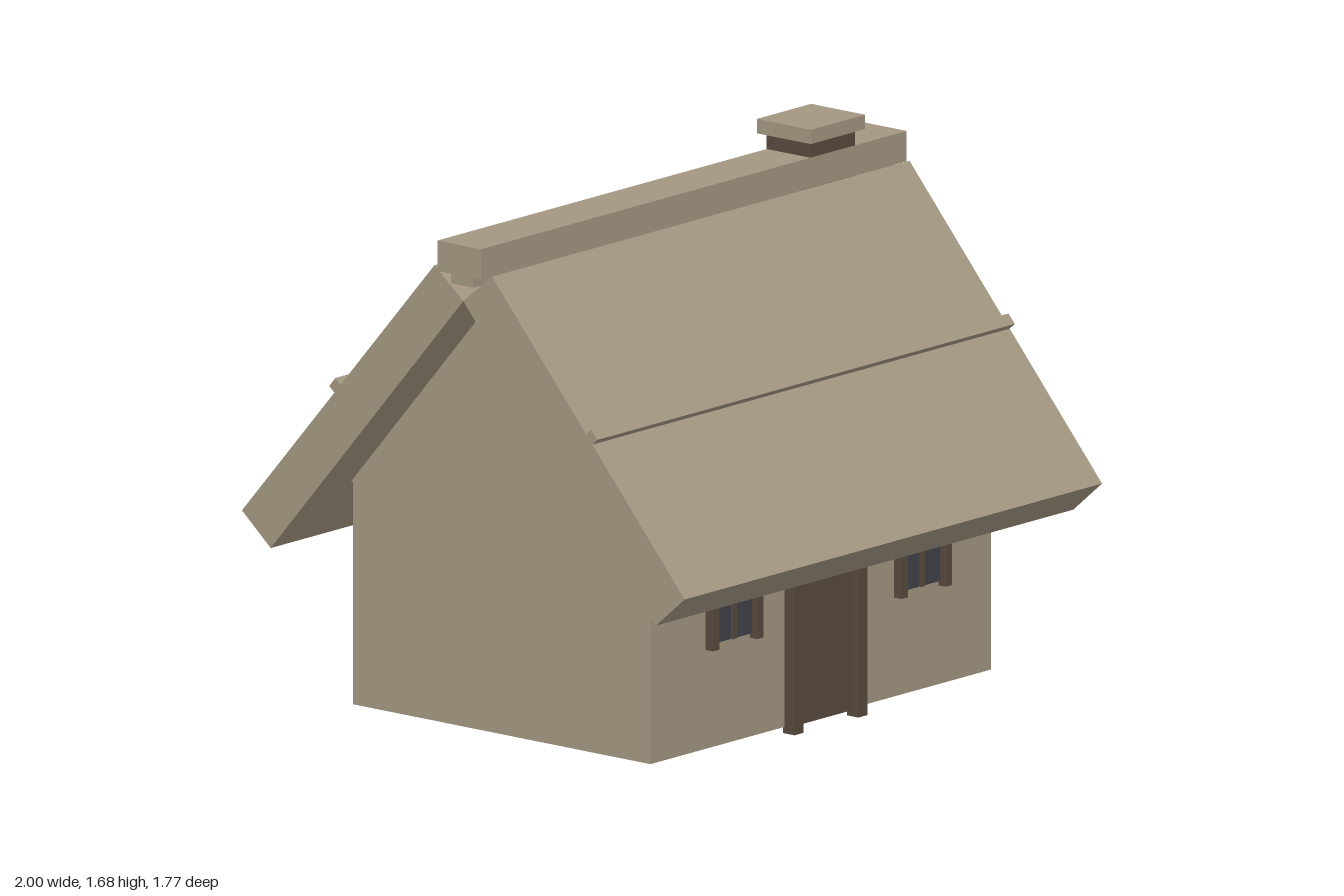
import * as THREE from 'three';

export function createModel() {
  const model = new THREE.Group();
  model.name = 'cottage';
  const paint = (name, color) => {
    const m = new THREE.MeshStandardMaterial({ color });
    m.name = name;
    return m;
  };
  const plaster = paint('plaster and thatch', 0xa39781);
  const timber = paint('dark timber', 0x594a3e);
  const glass = paint('window glass', 0x42424a);

  // box given by its min and max on each axis
  function box(parent, name, mat, [x0, x1], [y0, y1], [z0, z1]) {
    const mesh = new THREE.Mesh(new THREE.BoxGeometry(x1 - x0, y1 - y0, z1 - z0), mat);
    mesh.position.set((x0 + x1) / 2, (y0 + y1) / 2, (z0 + z1) / 2);
    mesh.name = name;
    parent.add(mesh);
    return mesh;
  }

  // prism along x from a [z, y] outline
  function prism(name, mat, outline, halfLength) {
    const shape = new THREE.Shape(outline.map(([z, y]) => new THREE.Vector2(-z, y)));
    const geo = new THREE.ExtrudeGeometry(shape, { depth: halfLength * 2, bevelEnabled: false });
    geo.translate(0, 0, -halfLength).rotateY(Math.PI / 2);
    const mesh = new THREE.Mesh(geo, mat);
    mesh.name = name;
    model.add(mesh);
  }

  // walls and gable
  box(model, 'walls', plaster, [-0.8, 0.8], [0.02, 0.72], [-0.595, 0.595]);
  prism('gable', plaster, [[0.595, 0.72], [-0.595, 0.72], [0, 1.41]], 0.81);

  // roof slopes, each with a raised batten
  for (const s of [1, -1]) {
    const side = s > 0 ? 'front' : 'back';
    const flip = (pts) => pts.map(([z, y]) => [s * z, y]);
    prism(side + 'RoofSlope', plaster,
      flip([[0, 1.41], [0.115, 1.505], [0.885, 0.615], [0.77, 0.515]]), 0.98);
    prism(side + 'RoofBatten', plaster,
      flip([[0.485, 1.066], [0.511, 1.089], [0.536, 1.06], [0.51, 1.037]]), 0.98);
  }

  // ridge
  box(model, 'ridgeCap', plaster, [-1, 1], [1.495, 1.59], [-0.087, 0.087]);
  box(model, 'ridgeBeam', plaster, [-0.985, 0.985], [1.46, 1.5], [-0.045, 0.045]);

  // chimney
  box(model, 'chimney', timber, [0.547, 0.757], [1.36, 1.64], [-0.087, 0.087]);
  box(model, 'chimneyCap', plaster, [0.525, 0.78], [1.64, 1.685], [-0.108, 0.108]);

  // door
  const door = new THREE.Group();
  door.name = 'door';
  model.add(door);
  box(door, 'doorPanel', timber, [-0.13, 0.13], [0.02, 0.575], [0.59, 0.612]);
  for (const s of [-1, 1]) {
    box(door, 'doorPost', timber, [s * 0.15 - 0.021, s * 0.15 + 0.021], [0, 0.575], [0.59, 0.635]);
  }
  box(door, 'doorLintel', timber, [-0.2, 0.2], [0.57, 0.63], [0.59, 0.65]);

  // windows, built facing +z with the wall face at z = 0
  function addWindow(name, x, facing) {
    const win = new THREE.Group();
    win.name = name;
    box(win, 'pane', glass, [-0.09, 0.09], [0.345, 0.575], [-0.005, 0.008]);
    box(win, 'mullion', timber, [-0.009, 0.009], [0.345, 0.575], [0, 0.016]);
    box(win, 'crossbar', timber, [-0.09, 0.09], [0.465, 0.483], [0, 0.016]);
    for (const s of [-1, 1]) {
      box(win, 'windowPost', timber, [s * 0.104 - 0.015, s * 0.104 + 0.015], [0.33, 0.575], [-0.005, 0.03]);
    }
    box(win, 'windowLintel', timber, [-0.14, 0.14], [0.57, 0.628], [-0.005, 0.05]);
    win.position.set(x, 0, facing * 0.595);
    if (facing < 0) win.rotation.y = Math.PI;
    model.add(win);
  }
  addWindow('frontWindowRight', -0.4225, 1);
  addWindow('frontWindowLeft', 0.4625, 1);
  addWindow('backWindowRight', -0.43, -1);
  addWindow('backWindowLeft', 0.44, -1);

  return model;
}
